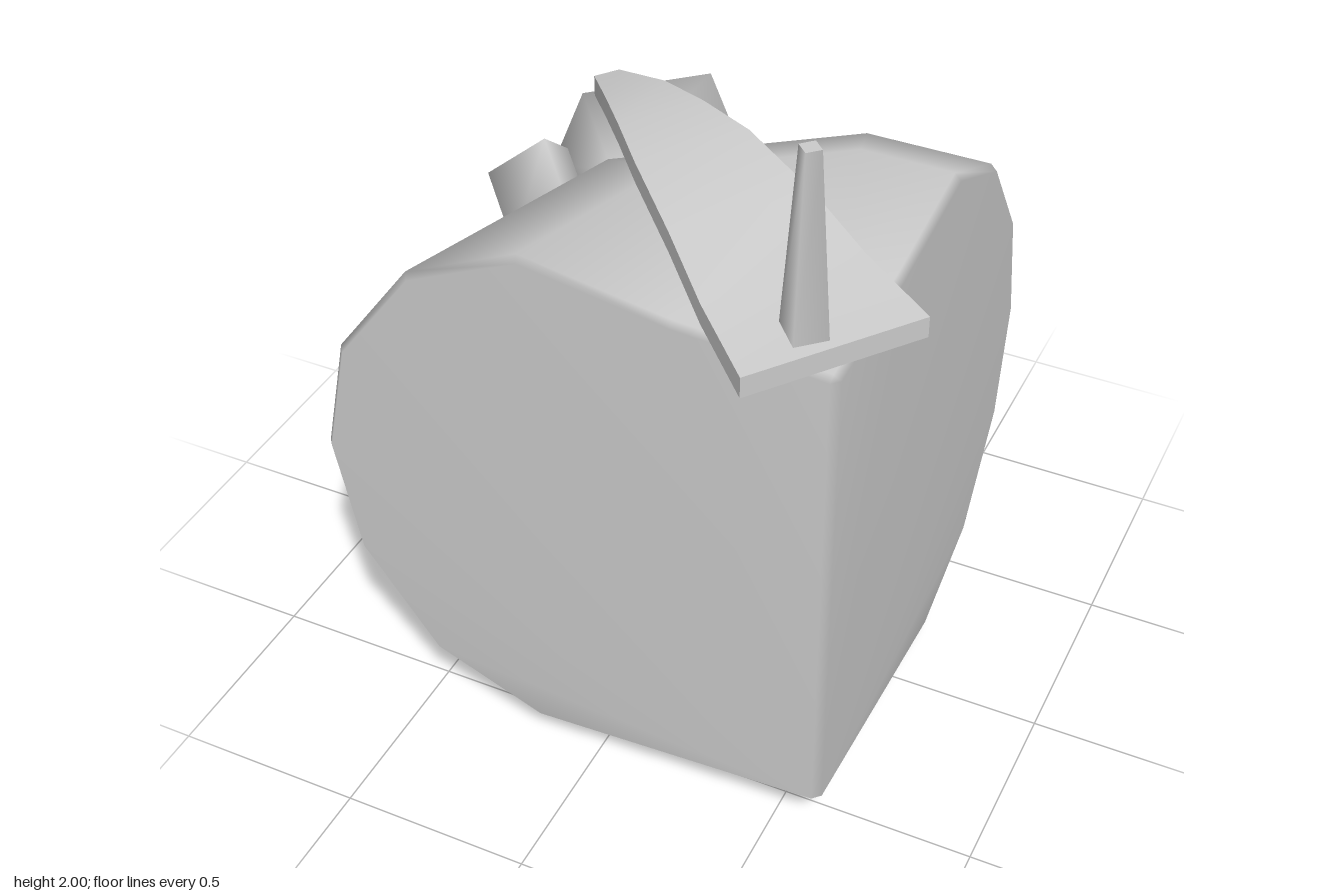
import * as THREE from 'three';
import { mergeVertices, toCreasedNormals } from 'three/addons/utils/BufferGeometryUtils.js';

const material = new THREE.MeshStandardMaterial({ color: 0xcccccc });

function named(geometry, name) {
  const mesh = new THREE.Mesh(geometry, material);
  mesh.name = name;
  return mesh;
}

// Shares corners and averages their normals
function softened(geometry) {
  geometry.deleteAttribute('normal');
  geometry.deleteAttribute('uv');
  const smooth = mergeVertices(geometry);
  smooth.computeVertexNormals();
  return smooth;
}

// Quarter of a ten-sided turned fruit, with narrow soft bevels round both cut faces
function wedgeGeometry() {
  const profile = [[0, 0.122], [0.39, 0.108], [0.775, 0.08], [1.075, 0.2], [1.28, 0.48], [1.345, 0.8],
    [1.28, 1.12], [1.075, 1.4], [0.775, 1.54], [0.39, 1.48], [0, 1.455]];
  const n = profile.length - 1, cx = 0.61, cz = 0.585, apothem = Math.cos(Math.PI / 10);
  const inset = ([r, y]) => [r * 0.988, 0.8 + (y - 0.8) * 0.983];
  const ring = (degrees, scale = 1) => {
    const a = THREE.MathUtils.degToRad(degrees);
    return profile.map(([r, y]) => [cx - r * scale * Math.sin(a), y, cz - r * scale * Math.cos(a)]);
  };
  const front = profile.map(inset).map(([r, y]) => [cx - r, y, cz + 0.02]);
  const side = profile.map(inset).map(([r, y]) => [cx + 0.02, y, cz - r * apothem]);
  const sections = [front, ring(90), ring(54), ring(18), ring(0, apothem), side];

  const positions = [];
  const tri = (...points) => points.forEach((p) => positions.push(...p));
  // Skin
  for (let i = 0; i < sections.length - 1; i++) {
    for (let j = 0; j < n; j++) {
      const [a, b] = [sections[i][j], sections[i][j + 1]];
      const [c, d] = [sections[i + 1][j], sections[i + 1][j + 1]];
      tri(a, b, c);
      tri(b, d, c);
    }
  }
  // Cut faces
  for (let j = 1; j < n; j++) {
    tri(front[0], front[j + 1], front[j]);
    tri(side[0], side[j], side[j + 1]);
  }
  // Bevel down the core edge
  const core = sections[1];
  tri(front[0], side[0], side[n]);
  tri(front[0], side[n], front[n]);
  tri(front[n], side[n], core[n]);
  tri(front[0], core[0], side[0]);

  const geometry = new THREE.BufferGeometry();
  geometry.setAttribute('position', new THREE.Float32BufferAttribute(positions, 3));
  return softened(geometry);
}

// Arched leaf: a box bent along stations of [distance, half width, height]
function leafGeometry() {
  const stations = [[0, 0.034, 1.58], [0.16, 0.08, 1.62], [0.3, 0.113, 1.63], [0.46, 0.149, 1.627],
    [0.7, 0.183, 1.588], [0.9, 0.208, 1.53], [1.131, 0.234, 1.497]];
  const count = stations.length - 1;
  const geometry = new THREE.BoxGeometry(2, 0.055, 1, 1, 1, count);
  const p = geometry.attributes.position;
  for (let i = 0; i < p.count; i++) {
    const [s, half, y] = stations[Math.round((p.getZ(i) + 0.5) * count)];
    const w = p.getX(i) * half;
    // Runs from the narrow tip at the back towards the front corner
    p.setXYZ(i, -0.29 + s * 0.796 + w * 0.606, y + p.getY(i), -0.11 + s * 0.606 - w * 0.796);
  }
  return toCreasedNormals(geometry, 0.7);
}

// Soft-shaded block set in the skin: face centre, outward normal, edge direction, size
function chunk(name, face, normal, edge, size) {
  const n = new THREE.Vector3(...normal).normalize();
  const e = new THREE.Vector3(...edge);
  e.addScaledVector(n, -e.dot(n)).normalize();
  const mesh = named(softened(new THREE.BoxGeometry(...size)), name);
  mesh.quaternion.setFromRotationMatrix(new THREE.Matrix4().makeBasis(e, n.clone().cross(e), n));
  mesh.position.set(...face).addScaledVector(n, -size[2] / 2);
  return mesh;
}

export function createModel() {
  const group = new THREE.Group();
  group.name = 'fruitWedge';

  group.add(named(wedgeGeometry(), 'wedge'));
  group.add(named(leafGeometry(), 'leaf'));

  // Four-sided tapering stem
  const stem = named(new THREE.CylinderGeometry(0.027, 0.062, 0.5, 4), 'stem');
  stem.position.set(0.53, 1.75, 0.565);
  group.add(stem);

  group.add(
    chunk('upperChunk', [-0.348, 1.325, -0.347], [-0.65, 0.47, -0.59], [-0.235, 0.04, 0.26], [0.36, 0.345, 0.23]),
    chunk('smallChunk', [-0.53, 1.25, -0.155], [-0.64, 0.5, -0.585], [0.14, 0.11, -0.06], [0.185, 0.185, 0.22]),
    chunk('sideChunk', [-0.717, 0.555, 0.274], [-0.97, -0.16, -0.17], [-0.04, 0, 0.24], [0.24, 0.19, 0.16]),
    chunk('lowerChunk', [0.365, 0.167, -0.627], [-0.12, -0.57, -0.79], [0.32, 0.085, -0.11], [0.345, 0.32, 0.19]),
  );
  return group;
}
